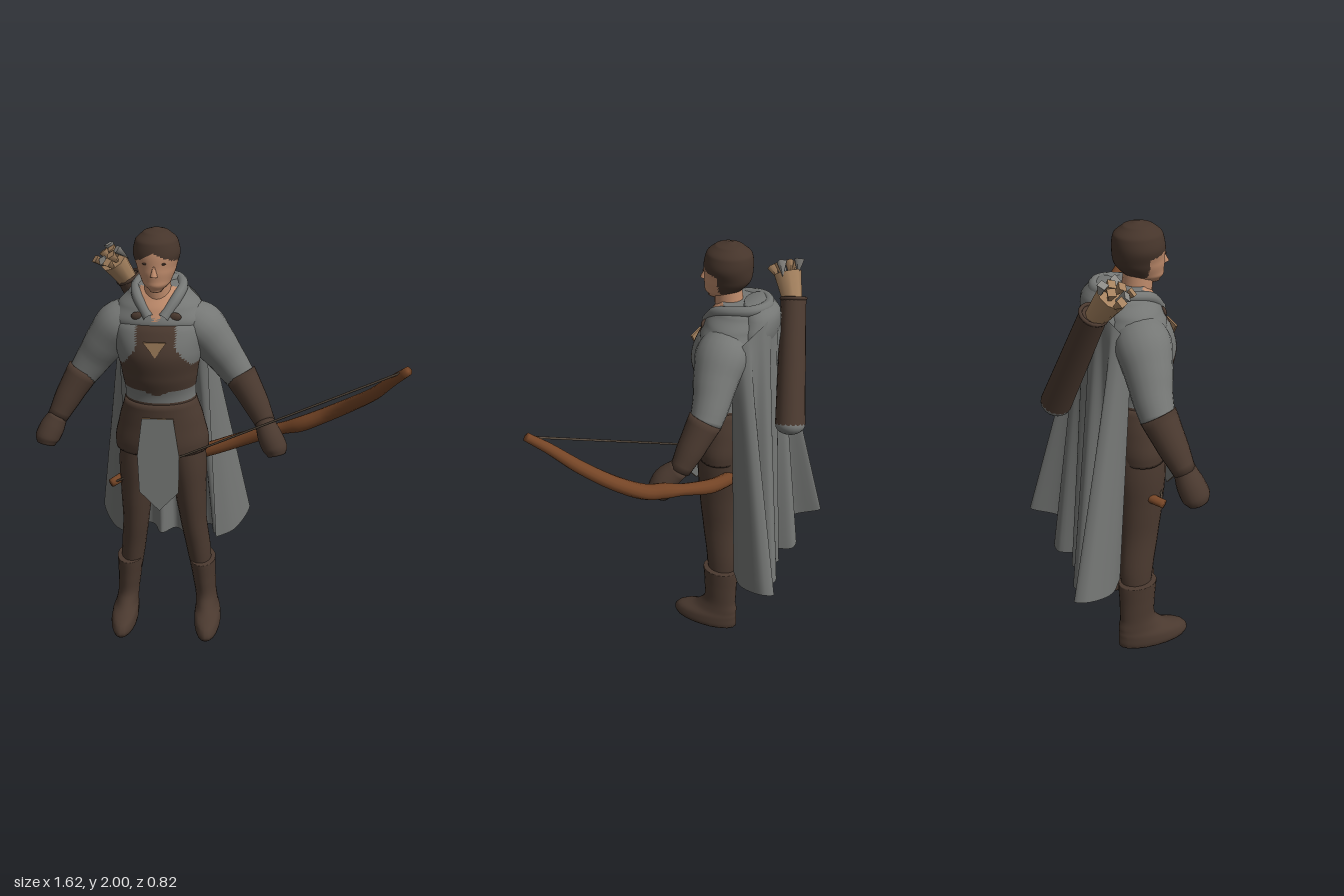
import * as THREE from 'three';

const mat = (name, color, side = THREE.FrontSide) => {
  const m = new THREE.MeshStandardMaterial({ color, side });
  m.name = name;
  return m;
};
const V = (x, y, z) => new THREE.Vector3(x, y, z);
const polygon = points => new THREE.Shape(points.map(p => new THREE.Vector2(...p)));
const CX = -0.235; // the body's own centre line

export function createModel() {
  const leather = mat('dark brown leather', 0x4a392f);
  const cloth = mat('grey cloth', 0x757775, THREE.DoubleSide);
  const skin = mat('skin', 0xc08c6c);
  const wood = mat('bow wood', 0x754526);
  const tan = mat('tan', 0xa5825f, THREE.DoubleSide);
  const cord = mat('bow string', 0x5c4f42);
  const hair = mat('hair', 0x46352b);
  const feather = mat('feather grey', 0x8c8a85, THREE.DoubleSide);

  const root = new THREE.Group();
  const body = new THREE.Group();
  body.name = 'body';
  body.position.x = CX;
  root.add(body);

  const add = (parent, name, geo, material, x = 0, y = 0, z = 0) => {
    const m = new THREE.Mesh(geo, material);
    m.name = name;
    m.position.set(x, y, z);
    parent.add(m);
    return m;
  };

  // Smooth capped skin through elliptical rings [x, y, z, rx, rz].
  // along: rings turn with the path instead of lying flat.
  // pick(x, y, z) chooses a material for each face.
  function loft(parent, name, rings, pick, { along = false, n = 20, sub = 4 } = {}) {
    const path = new THREE.CatmullRomCurve3(rings.map(r => V(r[0], r[1], r[2])), false, 'centripetal');
    const size = new THREE.CatmullRomCurve3(rings.map(r => V(r[3], r[4], 0)), false, 'catmullrom', 0.3);
    const steps = (rings.length - 1) * sub, pos = [];
    for (let i = 0; i <= steps; i++) {
      const f = i / steps, c = path.getPoint(f), s = size.getPoint(f);
      const t = along ? path.getTangent(f) : V(0, 1, 0);
      const w = V(0, 0, 1).addScaledVector(t, -t.z).normalize();
      const u = t.clone().cross(w);
      for (let j = 0; j < n; j++) {
        const a = j / n * Math.PI * 2;
        const p = c.clone().addScaledVector(u, s.x * Math.cos(a)).addScaledVector(w, s.y * Math.sin(a));
        pos.push(p.x, p.y, p.z);
      }
    }
    const first = rings[0], last = rings[rings.length - 1], c0 = pos.length / 3;
    pos.push(first[0], first[1], first[2], last[0], last[1], last[2]);
    const faces = new Map();
    const face = (...ids) => {
      const mean = k => ids.reduce((s, i) => s + pos[i * 3 + k], 0) / 3;
      const m = typeof pick === 'function' ? pick(mean(0), mean(1), mean(2)) : pick;
      if (!faces.has(m)) faces.set(m, []);
      faces.get(m).push(...ids);
    };
    for (let j = 0; j < n; j++) {
      const k = (j + 1) % n, e = steps * n;
      for (let i = 0; i < e; i += n) {
        face(i + j, i + n + j, i + k);
        face(i + k, i + n + j, i + n + k);
      }
      face(c0, j, k);
      face(c0 + 1, e + k, e + j);
    }
    const geo = new THREE.BufferGeometry(), index = [];
    geo.setAttribute('position', new THREE.Float32BufferAttribute(pos, 3));
    [...faces.values()].forEach((ids, g) => {
      geo.addGroup(index.length, ids.length, g);
      index.push(...ids);
    });
    geo.setIndex(index);
    geo.computeVertexNormals();
    return add(parent, name, geo, [...faces.keys()]);
  }

  // Torso: brown vest above a grey sash, grey tunic behind
  loft(body, 'torso', [
    [0, 1.17, -0.01, 0.17, 0.125], [0, 1.27, 0, 0.158, 0.122], [0, 1.37, 0.01, 0.17, 0.14],
    [0, 1.48, 0.01, 0.19, 0.155], [0, 1.58, -0.01, 0.205, 0.142], [0, 1.66, -0.04, 0.17, 0.1],
  ], (x, y, z) => {
    if (y < 1.25) return leather;
    if (y < 1.31 - Math.max(0, 0.06 - Math.abs(x)) * 0.4) return cloth;
    if (y < 1.43) return z > -0.05 ? leather : cloth;
    return z > 0 && Math.abs(x) < Math.max(0.085, 0.15 - (y - 1.43) * 0.8) ? leather : cloth;
  }, { n: 80, sub: 10 });
  loft(body, 'hips', [
    [0, 0.985, -0.01, 0.215, 0.138], [0, 1.04, -0.01, 0.216, 0.142],
    [0, 1.13, -0.01, 0.195, 0.138], [0, 1.24, -0.003, 0.163, 0.13],
  ], leather, { n: 32 });

  // Mantle over the shoulders, open at the throat
  loft(body, 'mantle', [
    [0, 1.51, -0.05, 0.235, 0.12], [0, 1.56, -0.045, 0.238, 0.14], [0, 1.61, -0.04, 0.222, 0.152],
    [0, 1.665, -0.048, 0.182, 0.14], [0, 1.715, -0.06, 0.135, 0.122], [0, 1.75, -0.07, 0.1, 0.1],
  ], (x, y, z) => z > 0 && y > 1.625 && Math.abs(x) < (y - 1.615) * 0.65 ? skin : cloth, { n: 64, sub: 8 });

  // Lowered hood: a soft roll round the neck, heavy at the back
  const hoodPath = new THREE.CatmullRomCurve3([
    V(0.03, 1.635, 0.095), V(0.085, 1.71, 0.03), V(0.1, 1.735, -0.06), V(0.075, 1.745, -0.14),
    V(0, 1.745, -0.175), V(-0.075, 1.745, -0.14), V(-0.1, 1.735, -0.06), V(-0.085, 1.71, 0.03), V(-0.03, 1.635, 0.095),
  ]);
  add(body, 'hoodRoll', new THREE.TubeGeometry(hoodPath, 48, 0.024, 10), cloth);
  loft(body, 'hoodBack', [
    [0, 1.55, -0.14, 0.13, 0.06], [0, 1.64, -0.145, 0.145, 0.08],
    [0, 1.71, -0.145, 0.115, 0.08], [0, 1.765, -0.13, 0.08, 0.055],
  ], cloth);

  // Vest clasp and mantle brooches
  add(body, 'vestClasp', new THREE.ExtrudeGeometry(polygon([[-0.05, 0.035], [0, -0.035], [0.05, 0.035]]),
    { depth: 0.008, bevelEnabled: false }), tan, 0, 1.515, 0.158);
  for (const s of [1, -1]) {
    const b = add(body, 'brooch', new THREE.SphereGeometry(0.028, 12, 8), leather, s * 0.08, 1.64, 0.087);
    b.scale.set(1, 0.7, 0.4);
  }

  // Front cloth panel with tan edging, tapering to a point
  const panel = polygon([[-0.07, 0], [-0.095, -0.18], [-0.09, -0.36], [0, -0.455], [0.09, -0.36], [0.095, -0.18], [0.07, 0]]);
  const apron = add(body, 'frontPanel', new THREE.ExtrudeGeometry(panel, { depth: 0.009, bevelEnabled: false }),
    [cloth, tan], 0, 1.185, 0.136);
  apron.rotation.x = -0.055;

  // Neck, head and face
  loft(body, 'neck', [[0, 1.6, -0.02, 0.065, 0.07], [0, 1.7, 0, 0.06, 0.065], [0, 1.82, 0.01, 0.055, 0.06]], skin);
  loft(body, 'head', [
    [0, 1.748, 0.065, 0.025, 0.035], [0, 1.785, 0.035, 0.062, 0.08], [0, 1.84, 0.012, 0.084, 0.105],
    [0, 1.9, 0.008, 0.1, 0.108], [0, 1.95, 0.005, 0.09, 0.1], [0, 1.985, 0.005, 0.055, 0.062], [0, 2, 0, 0.012, 0.012],
  ], (x, y, z) => (y > 1.918 - Math.abs(x) * 0.5 || (z < 0.025 && y > 1.785)) ? hair : skin, { n: 48, sub: 8 });
  const nose = add(body, 'nose', new THREE.ConeGeometry(0.016, 0.06, 8), skin, 0, 1.85, 0.116);
  nose.rotation.x = -0.25;
  for (const s of [1, -1]) {
    const eye = add(body, 'eye', new THREE.SphereGeometry(0.012, 10, 6), hair, s * 0.037, 1.873, 0.106);
    eye.scale.set(1, 0.4, 0.4);
  }

  // Limbs, mirrored
  for (const s of [1, -1]) {
    const side = s > 0 ? 'left' : 'right', hz = s > 0 ? 0.1 : 0.06;
    loft(body, side + 'Sleeve', [
      [s * 0.11, 1.61, -0.04, 0.08, 0.1], [s * 0.18, 1.56, -0.04, 0.104, 0.118],
      [s * 0.245, 1.48, -0.04, 0.093, 0.1], [s * 0.305, 1.395, -0.045, 0.08, 0.083], [s * 0.365, 1.31, -0.04, 0.068, 0.07],
    ], cloth, { along: true });
    loft(body, side + 'Gauntlet', [
      [s * 0.355, 1.335, -0.04, 0.074, 0.077], [s * 0.42, 1.23, -0.005, 0.062, 0.064],
      [s * 0.475, 1.13, 0.03, 0.047, 0.047],
    ], leather, { along: true });
    loft(body, side + 'Fist', [
      [s * 0.47, 1.14, 0.03, 0.044, 0.046], [s * 0.5, 1.085, hz - 0.015, 0.056, 0.058],
      [s * 0.522, 1.04, hz, 0.056, 0.06], [s * 0.53, 1.01, hz + 0.01, 0.042, 0.045],
    ], leather, { along: true });
    loft(body, side + 'Leg', [
      [s * 0.175, 0.28, -0.05, 0.052, 0.065], [s * 0.16, 0.42, -0.045, 0.06, 0.08], [s * 0.14, 0.58, -0.025, 0.064, 0.088],
      [s * 0.128, 0.75, -0.015, 0.076, 0.1], [s * 0.115, 0.92, -0.015, 0.09, 0.115], [s * 0.1, 1.08, -0.015, 0.09, 0.115],
    ], leather);
    loft(body, side + 'Boot', [
      [s * 0.21, 0, 0.022, 0.062, 0.168], [s * 0.21, 0.025, 0.025, 0.066, 0.174], [s * 0.208, 0.06, 0.015, 0.064, 0.162],
      [s * 0.203, 0.095, -0.03, 0.055, 0.115], [s * 0.196, 0.15, -0.05, 0.053, 0.085], [s * 0.188, 0.24, -0.05, 0.058, 0.085],
      [s * 0.182, 0.32, -0.048, 0.063, 0.09], [s * 0.18, 0.35, -0.046, 0.065, 0.09],
    ], leather);
  }

  // Cloak: a sheet from the shoulders to a deeply folded hem
  const half = [
    [0.07, 0.35, -0.24], [0.12, 0.35, -0.33], [0.18, 0.36, -0.33], [0.21, 0.38, -0.21],
    [0.295, 0.42, -0.265], [0.355, 0.46, -0.4], [0.383, 0.465, -0.35], [0.31, 0.41, -0.21], [0.22, 0.4, -0.14],
  ];
  const hem = new THREE.CatmullRomCurve3([
    ...half.map(([x, y, z]) => V(-x, y, z)).reverse(), V(0, 0.35, -0.3), ...half.map(p => V(...p)),
  ]);
  const cols = 96, rows = 16, cape = new THREE.PlaneGeometry(1, 1, cols, rows);
  for (let r = 0; r <= rows; r++) for (let c = 0; c <= cols; c++) {
    const a = (c / cols - 0.5) * Math.PI, v = r / rows;
    const top = V(0.195 * Math.sin(a), 1.58 + 0.14 * Math.cos(a), -0.09 - 0.125 * Math.cos(a));
    top.lerp(hem.getPoint(c / cols), v);
    cape.attributes.position.setXYZ(r * (cols + 1) + c, top.x + 0.02 * v, top.y, top.z);
  }
  cape.setIndex([...cape.index.array].reverse()); // wound outward to the back
  cape.computeVertexNormals();
  add(body, 'cloak', cape, cloth);

  // A group whose local y runs from one point to another
  const lean = (name, from, to) => {
    const g = new THREE.Group();
    g.name = name;
    g.position.copy(from);
    g.quaternion.setFromUnitVectors(V(0, 1, 0), to.clone().sub(from).normalize());
    root.add(g);
    return g;
  };

  // Quiver across the back, with the arrows leaning forward out of it
  const q0 = V(-0.165, 1.22, -0.33), q1 = V(-0.4, 1.715, -0.235), len = q0.distanceTo(q1);
  const quiver = lean('quiver', q0, q1);
  add(quiver, 'quiverCase', new THREE.CylinderGeometry(0.056, 0.068, len, 18), leather, 0, len / 2);
  add(quiver, 'quiverRim', new THREE.TorusGeometry(0.054, 0.008, 8, 18).rotateX(Math.PI / 2), leather, 0, len);
  add(quiver, 'quiverCap', new THREE.SphereGeometry(0.068, 18, 12).scale(1, 0.7, 1), cloth);
  const arrows = lean('arrows', V(-0.395, 1.69, -0.235), V(-0.475, 1.84, -0.165));
  add(arrows, 'arrowBundle', new THREE.CylinderGeometry(0.062, 0.042, 0.14, 9), tan, 0, 0.07);
  for (let i = 0; i < 8; i++) {
    const a = i * Math.PI / 4, r = i % 2 ? 0.03 : 0.055;
    const f = add(arrows, 'fletching', new THREE.ConeGeometry(0.024, 0.075, 4), i % 3 ? tan : feather,
      r * Math.cos(a), 0.15, r * Math.sin(a));
    f.rotation.set(Math.sin(a) * 0.3 + Math.PI, a, -Math.cos(a) * 0.3);
  }

  // Bow with a thick grip and its string
  loft(root, 'bow', [
    [-0.475, 0.8, 0.05, 0.02, 0.02], [-0.42, 0.815, 0.0, 0.022, 0.022], [-0.3, 0.84, -0.06, 0.026, 0.026],
    [-0.15, 0.885, -0.085, 0.03, 0.03], [0, 0.94, -0.08, 0.034, 0.032], [0.14, 1.0, -0.065, 0.034, 0.03],
    [0.31, 1.085, -0.01, 0.027, 0.03], [0.4, 1.13, 0.03, 0.035, 0.034], [0.52, 1.2, 0.06, 0.033, 0.033],
    [0.62, 1.29, 0.14, 0.03, 0.03], [0.69, 1.385, 0.25, 0.027, 0.027], [0.745, 1.48, 0.34, 0.022, 0.022],
    [0.797, 1.55, 0.4, 0.018, 0.02],
  ], wood, { along: true, n: 12 });
  add(root, 'bowString', new THREE.TubeGeometry(
    new THREE.LineCurve3(V(-0.46, 0.805, 0.045), V(0.785, 1.545, 0.39)), 1, 0.005, 6), cord);

  return root;
}
